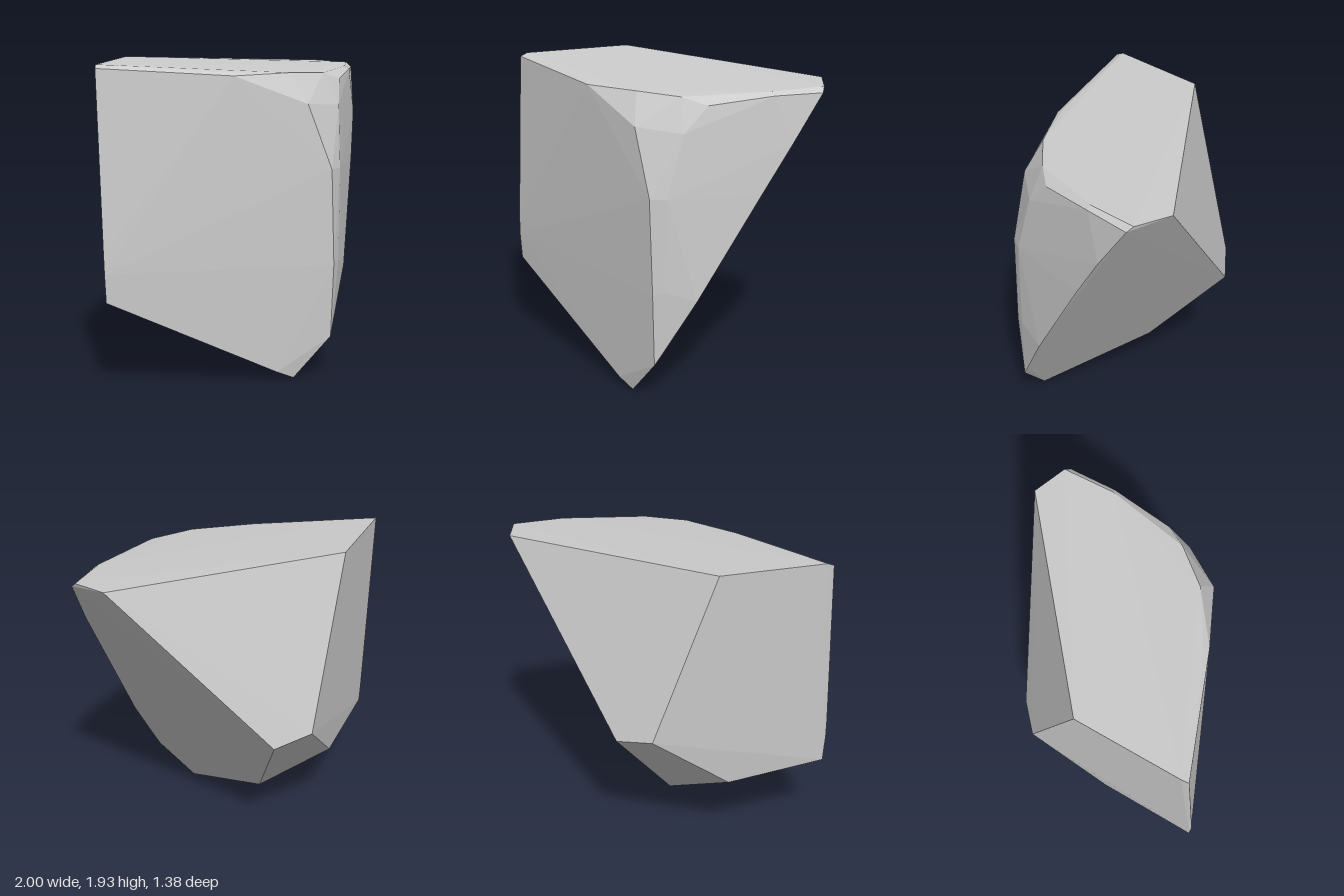
import * as THREE from 'three';
import { ConvexGeometry } from 'three/addons/geometries/ConvexGeometry.js';

export function createModel() {
  const group = new THREE.Group();
  group.name = 'rock';

  // Corners of the faceted boulder, grouped by region
  const corners = {
    // slightly tilted cap
    top: [
      [0.96, 1.88, -0.05], [-0.37, 1.93, -0.55], [-0.94, 1.91, -0.23], [-0.37, 1.86, 0.27],
      [-0.03, 1.85, 0.46], [0.24, 1.84, 0.51], [0.73, 1.86, 0.34], [1.0, 1.87, 0.17],
    ],
    // bevel running round the cap on the front
    rim: [
      [-0.975, 1.89, -0.2], [-0.37, 1.84, 0.31], [0.4, 1.8, 0.52], [0.75, 1.84, 0.36], [1.0, 1.84, 0.21],
    ],
    // narrow chamfer down the front: left edge, then right edge
    ridge: [
      [-0.01, 1.67, 0.58], [0.1, 1.28, 0.68], [0.12, 0.7, 0.69], [0.125, 0.25, 0.67],
      [0.28, 1.65, 0.6], [0.2, 1.28, 0.67], [0.19, 0.72, 0.675], [0.17, 0.32, 0.65],
    ],
    // bowed edge between the front and the right-hand slope
    slope: [[0.853, 1.56, 0.33], [0.7, 1.28, 0.42], [0.363, 0.65, 0.6]],
    // outer edge on the other side
    side: [[-0.985, 0.9, -0.15], [-1.0, 0.84, -0.135], [-1.0, 0.72, -0.13], [-0.99, 0.55, -0.13]],
    // back point and tapering underside
    base: [
      [-0.02, 0.915, -0.695], [0.21, 0.86, -0.62], [-0.04, 0.29, -0.2],
      [-0.44, 0.51, -0.42], [-0.15, 0.05, 0.47], [-0.05, 0, 0.52],
    ],
  };

  const points = Object.values(corners).flat().map((p) => new THREE.Vector3(...p));
  const boulder = new THREE.Mesh(
    new ConvexGeometry(points),
    new THREE.MeshStandardMaterial({ color: 0xcccccc, flatShading: true })
  );
  boulder.name = 'boulder';
  group.add(boulder);
  return group;
}
